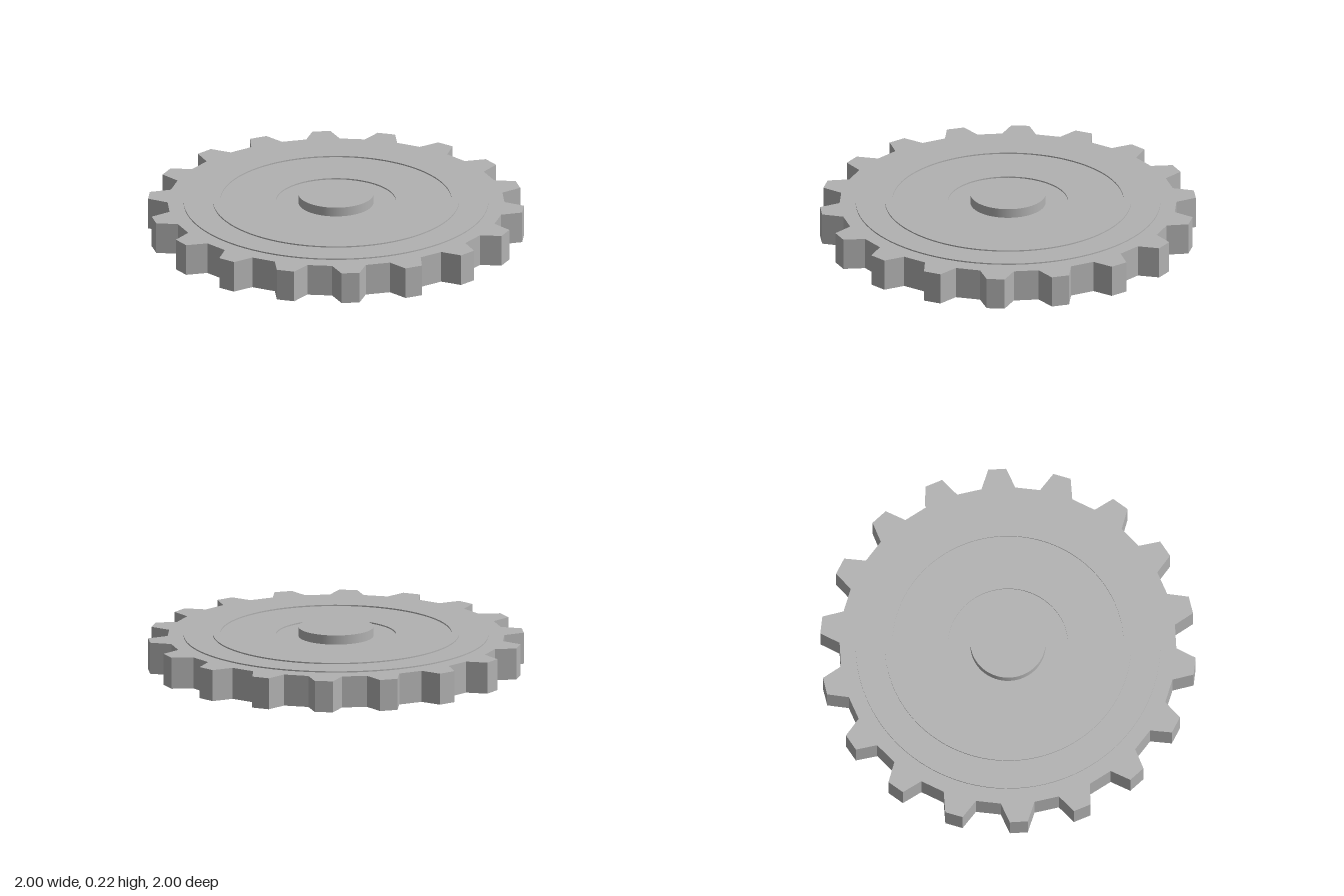
import * as THREE from 'three';
import { toCreasedNormals } from 'three/addons/utils/BufferGeometryUtils.js';

const TEETH = 18;
const BODY_TOP = 0.17;

export function createModel() {
  const group = new THREE.Group();
  group.name = 'gear';
  const steel = new THREE.MeshStandardMaterial({ color: 0xb2b2b2 });
  steel.name = 'grey steel';

  const add = (name, geometry) => {
    const mesh = new THREE.Mesh(geometry, steel);
    mesh.name = name;
    group.add(mesh);
    return mesh;
  };

  // Toothed body: each tooth is a trapezoid, [radius, angle from its centre]
  const tooth = [[0.895, -5.75], [1, -2.75], [1, 2.75], [0.895, 5.75]];
  const outline = [];
  for (let i = 0; i < TEETH; i++) {
    for (const [r, offset] of tooth) {
      const a = THREE.MathUtils.degToRad(4.3 + (i * 360) / TEETH + offset);
      outline.push(new THREE.Vector2(r * Math.sin(a), r * Math.cos(a)));
    }
  }
  const body = new THREE.ExtrudeGeometry(new THREE.Shape(outline), { depth: BODY_TOP, bevelEnabled: false });
  body.rotateX(-Math.PI / 2);
  add('toothedBody', body);

  // Raised face with a low ring and a recess around the hub
  const profile = [
    [0.81, BODY_TOP], [0.81, 0.177],
    [0.655, 0.177], [0.655, 0.184],
    [0.615, 0.184], [0.615, 0.177],
    [0.32, 0.177], [0.32, BODY_TOP],
  ].map(([r, y]) => new THREE.Vector2(r, y));
  add('raisedFace', toCreasedNormals(new THREE.LatheGeometry(profile, 96), Math.PI / 6));

  // Central hub
  const hub = add('hub', new THREE.CylinderGeometry(0.2, 0.2, 0.05, 64));
  hub.position.y = BODY_TOP + 0.025;

  return group;
}
